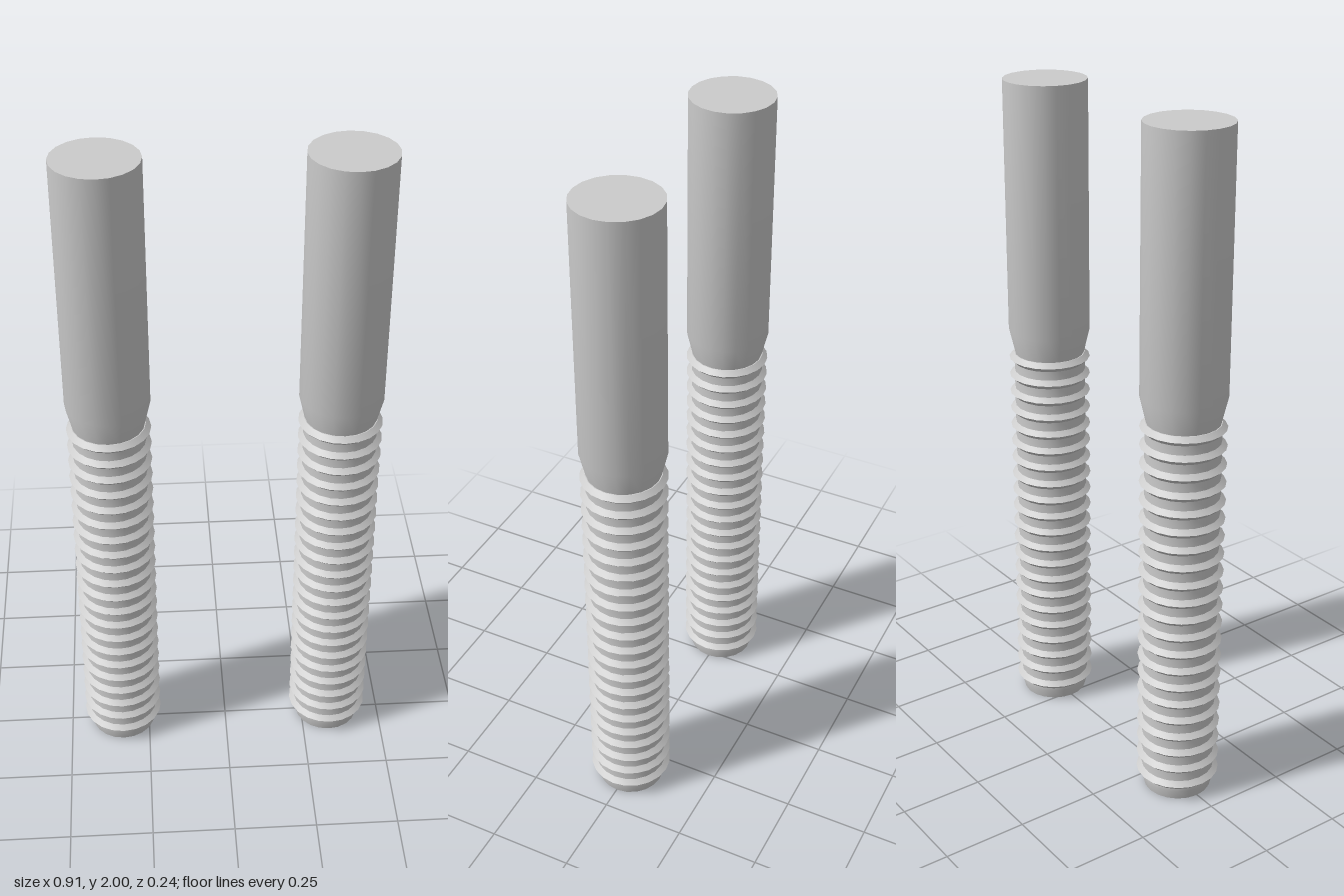
import * as THREE from 'three';
import { toCreasedNormals } from 'three/addons/utils/BufferGeometryUtils.js';

const SIDES = 20;
const OUTER = 0.122, ROOT = 0.107;
const RIDGES = 21, FIRST = 0.054, PITCH = 0.0554, HALF = 0.014;

// Turned part from [radius, height] pairs, listed bottom to top
function turned(name, profile, material) {
  const points = profile.map(([r, y]) => new THREE.Vector2(r, y));
  const geometry = toCreasedNormals(new THREE.LatheGeometry(points, SIDES), 0.65);
  const mesh = new THREE.Mesh(geometry, material);
  mesh.name = name;
  return mesh;
}

function createStud(name, x, material) {
  const stud = new THREE.Group();
  stud.name = name;

  // Threaded rod: chamfered tip, then evenly spaced pointed ridges
  const thread = [[0, 0], [0.099, 0], [ROOT, 0.03]];
  for (let i = 0; i < RIDGES; i++) {
    const y = FIRST + i * PITCH;
    thread.push([ROOT, y - HALF], [OUTER, y], [ROOT, y + HALF]);
  }
  thread.push([0, FIRST + (RIDGES - 1) * PITCH + HALF]);
  stud.add(turned('threadedRod', thread, material));

  // Plain shank with a tapered lower end
  const shank = [[0, 1.174], [0.104, 1.174], [OUTER, 1.25], [OUTER, 2], [0, 2]];
  stud.add(turned('shank', shank, material));

  stud.position.x = x;
  return stud;
}

export function createModel() {
  const model = new THREE.Group();
  model.name = 'threadedStuds';
  const material = new THREE.MeshStandardMaterial({ color: 0xcccccc });
  model.add(createStud('leftStud', 0.333, material));
  model.add(createStud('rightStud', -0.333, material));
  return model;
}
